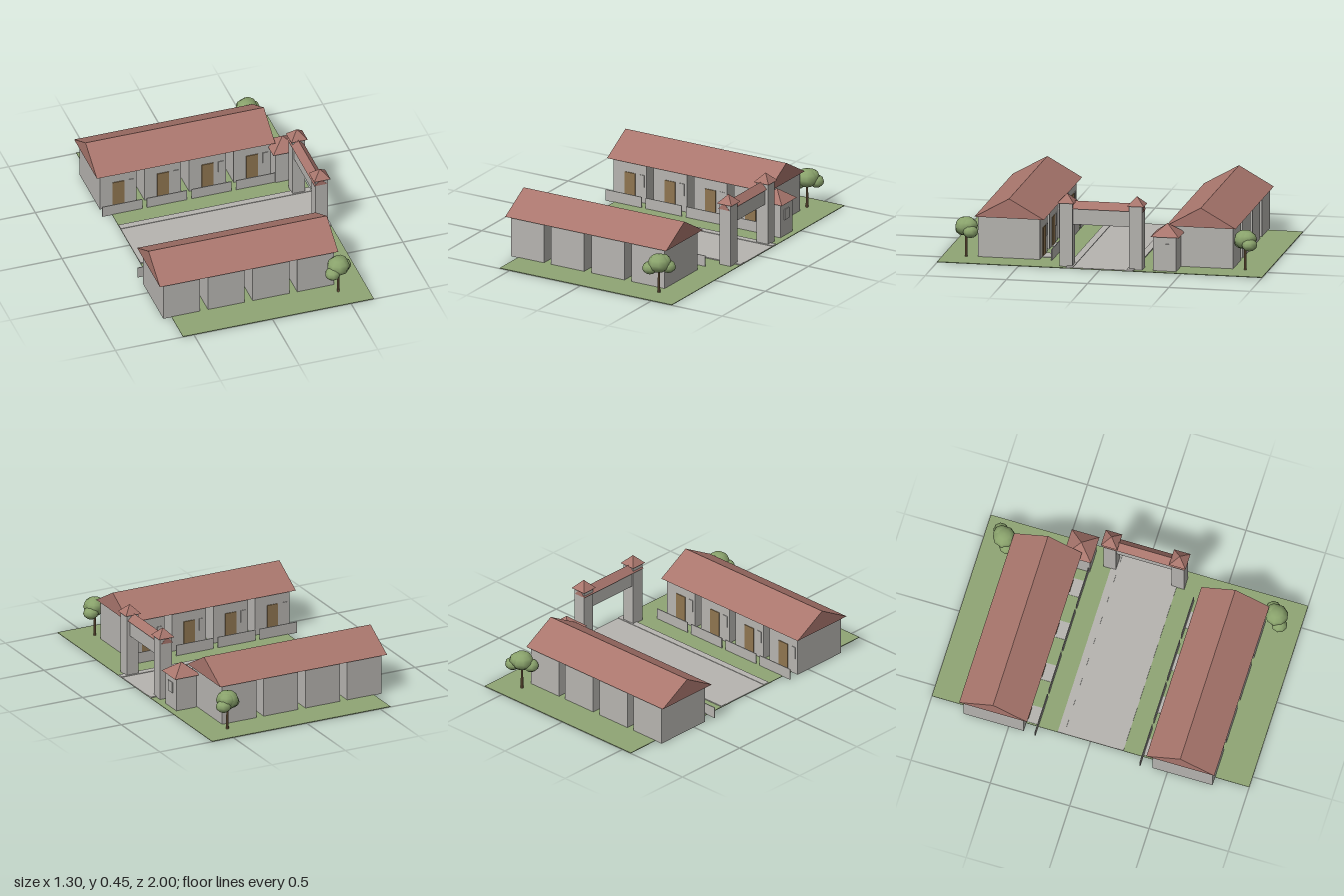
import * as THREE from 'three';

const mat = (name, color, flat = true) => {
  const m = new THREE.MeshStandardMaterial({ color, flatShading: flat });
  m.name = name;
  return m;
};

export function createModel() {
  const root = new THREE.Group();
  root.name = 'gatedStreet';
  const stone = mat('stone grey', 0xb6b4b0);
  const tile = mat('roof tile', 0xa9766d);
  const grass = mat('grass green', 0x8fa575);
  const wood = mat('door wood', 0x8f7550);
  const bark = mat('bark brown', 0x84694a);
  const leaf = mat('leaf green', 0x8aa36c, false);

  const add = (parent, name, geo, material) => {
    const m = new THREE.Mesh(geo, material);
    m.name = name;
    parent.add(m);
    return m;
  };
  // Box given by its minimum and maximum on each axis
  const box = (parent, name, material, x0, x1, y0, y1, z0, z1) => {
    const g = new THREE.BoxGeometry(x1 - x0, y1 - y0, z1 - z0);
    g.translate((x0 + x1) / 2, (y0 + y1) / 2, (z0 + z1) / 2);
    return add(parent, name, g, material);
  };
  // Triangular prism centred on the origin, ridge along x
  const gable = (length, width, height) => {
    const s = new THREE.Shape();
    s.moveTo(-width / 2, 0);
    s.lineTo(width / 2, 0);
    s.lineTo(0, height);
    s.closePath();
    const g = new THREE.ExtrudeGeometry(s, { depth: length, bevelEnabled: false });
    return g.translate(0, 0, -length / 2).rotateY(Math.PI / 2);
  };
  // Square pyramid standing on its base
  const pyramid = (width, height) => new THREE.ConeGeometry(width / Math.SQRT2, height, 4)
    .rotateY(Math.PI / 4).translate(0, height / 2, 0);

  // Lawn, road and pavements
  box(root, 'lawn', grass, -0.57, 0.645, 0, 0.004, -1, 1);
  box(root, 'road', stone, -0.57, 0.645, 0.002, 0.007, -0.165, 0.165);
  for (const s of [-1, 1]) {
    const z = [s * 0.165, s * 0.207].sort((a, b) => a - b);
    box(root, 'pavement', stone, -0.57, 0.645, 0.002, 0.01, z[0], z[1]);
  }

  // One row of four houses, facing +z with its street front at z = -0.405
  const houseRow = (dir) => {
    const row = new THREE.Group();
    row.name = 'houseRow';
    for (let i = 0; i < 4; i++) {
      // x is mirrored for the turned row so both rows line up
      const c = dir * (-0.505 + i * 0.284);
      box(row, 'houseWalls', stone, c - 0.117, c + 0.117, 0.001, 0.256, -0.785, -0.405);
      box(row, 'door', wood, c - 0.037, c + 0.037, 0.006, 0.182, -0.406, -0.4);
      box(row, 'window', stone, c + 0.068, c + 0.1, 0.105, 0.182, -0.406, -0.401);
      box(row, 'gardenPath', stone, c - 0.055, c + 0.055, 0.002, 0.007, -0.406, -0.33);
      box(row, 'gardenWall', stone, c - 0.127, c + 0.127, 0.001, 0.072, -0.333, -0.328);
    }
    const roof = add(row, 'roof', gable(1.135, 0.428, 0.121), tile);
    roof.position.set(dir * -0.0825, 0.255, -0.59);
    return row;
  };
  root.add(houseRow(1));
  const turned = houseRow(-1);
  turned.rotation.y = Math.PI;
  root.add(turned);

  // Entrance gate
  const gate = new THREE.Group();
  gate.name = 'gate';
  root.add(gate);
  for (const s of [-1, 1]) {
    const z = s * 0.215;
    box(gate, 'gatePillar', stone, 0.527, 0.607, 0.001, 0.397, z - 0.04, z + 0.04);
    add(gate, 'pillarCap', pyramid(0.104, 0.054), tile).position.set(0.567, 0.396, z);
  }
  box(gate, 'gateBeam', stone, 0.537, 0.587, 0.262, 0.362, -0.18, 0.18);
  const beamRoof = add(gate, 'beamRoof', gable(0.515, 0.08, 0.043), tile);
  beamRoof.rotation.y = Math.PI / 2;
  beamRoof.position.set(0.56, 0.36, 0);

  // Guard house
  const guard = new THREE.Group();
  guard.name = 'guardHouse';
  root.add(guard);
  box(guard, 'guardWalls', stone, 0.468, 0.606, 0.001, 0.217, -0.464, -0.322);
  box(guard, 'guardWindow', stone, 0.605, 0.611, 0.105, 0.172, -0.42, -0.365);
  add(guard, 'guardRoof', pyramid(0.175, 0.07), tile).position.set(0.537, 0.216, -0.396);

  // Trees: trunk and three overlapping clumps of leaves [x, y, z, radius]
  const clumps = [
    [0.0, 0.192, 0.0, 0.07],
    [0.045, 0.168, -0.035, 0.047],
    [-0.045, 0.163, 0.03, 0.048],
    [0.015, 0.2, -0.02, 0.053],
  ];
  for (const z of [0.857, -0.86]) {
    const tree = new THREE.Group();
    tree.name = 'tree';
    tree.position.set(0.467, 0, z);
    add(tree, 'trunk', new THREE.CylinderGeometry(0.006, 0.009, 0.15, 8), bark).position.y = 0.076;
    clumps.forEach(([x, y, cz, r], i) => {
      const m = add(tree, 'leaves', new THREE.SphereGeometry(r, 9, 6), leaf);
      m.position.set(x, y, cz);
      m.scale.y = 0.82;
      m.rotation.y = i * 0.7;
    });
    root.add(tree);
  }
  return root;
}
